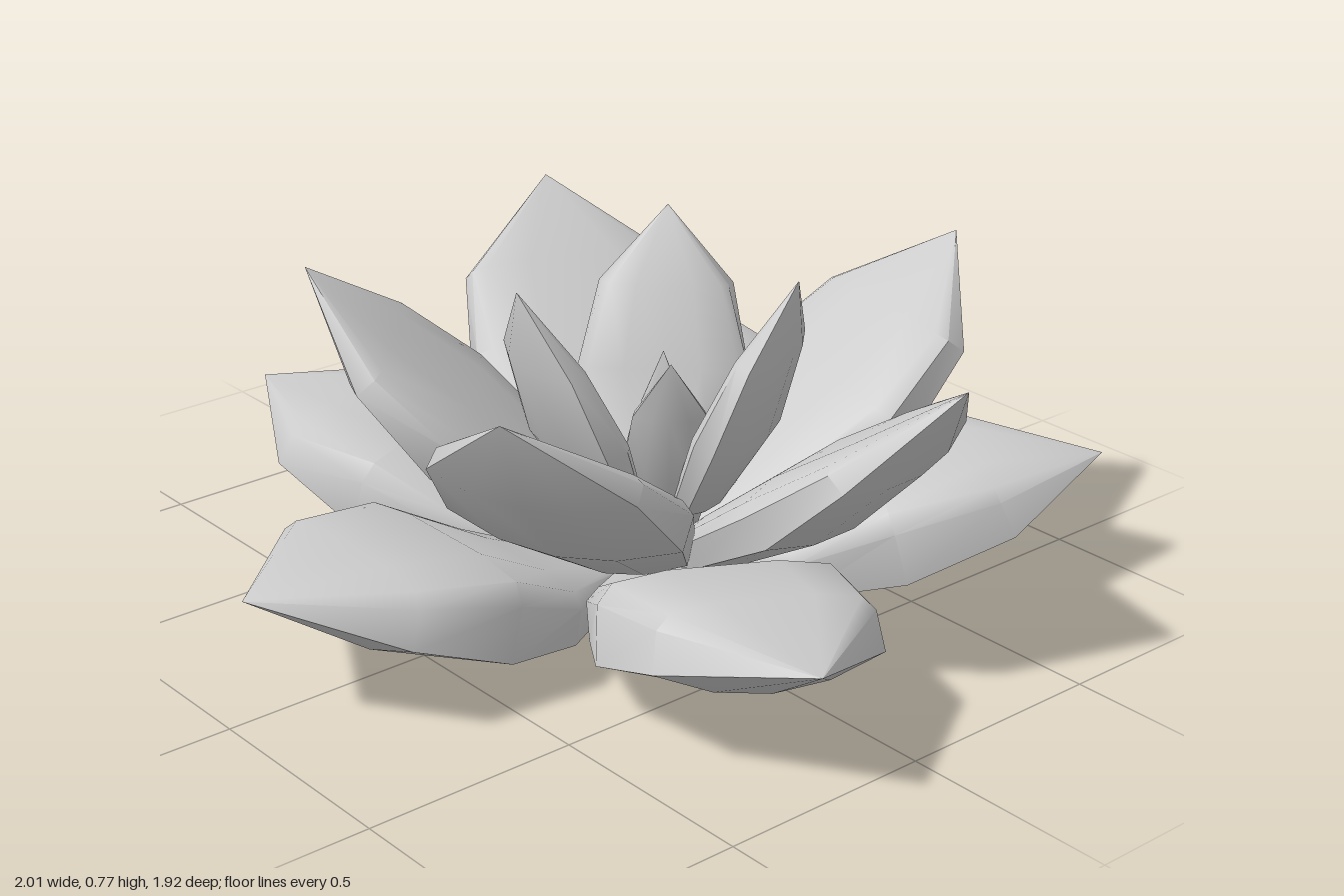
import * as THREE from 'three';
import { toCreasedNormals } from 'three/addons/utils/BufferGeometryUtils.js';

const material = new THREE.MeshStandardMaterial({ color: 0xcccccc });

// Solid fleshy petal along +z. Each row: distance, height, slope,
// then half width and lift of the fold, half width and lift of the rim.
function petalGeometry(rows, [tipZ, tipY]) {
  const pos = [], index = [], n = 12, keel = 4;
  for (const [s, y, tilt, foldX, foldUp, rimX, rimUp] of rows) {
    const shoulder = foldUp + (rimUp - foldUp) * 0.75;
    const crown = rimUp + rimX * 0.06;
    const section = [
      // underside and side walls
      [-rimX * 0.88, rimUp], [-rimX, shoulder], [-foldX, foldUp], [-foldX * 0.5, foldUp * 0.25], [0, 0],
      [foldX * 0.5, foldUp * 0.25], [foldX, foldUp], [rimX, shoulder], [rimX * 0.88, rimUp],
      // slightly domed upper face
      [rimX * 0.45, crown], [0, crown], [-rimX * 0.45, crown],
    ];
    for (const [x, up] of section) pos.push(x, y + up * Math.cos(tilt), s - up * Math.sin(tilt));
  }
  const tip = rows.length * n;
  pos.push(0, tipY, tipZ);
  for (let i = 0; i < n; i++) {
    const j = (i + 1) % n;
    if (i !== keel && j !== keel) index.push(j, i, keel);
    for (let r = 0; r < rows.length; r++) {
      const a = r * n + i, b = r * n + j;
      if (r === rows.length - 1) index.push(a, b, tip);
      else index.push(a, b, a + n, b, b + n, a + n);
    }
  }
  const g = new THREE.BufferGeometry();
  g.setAttribute('position', new THREE.Float32BufferAttribute(pos, 3));
  g.setIndex(index);
  return toCreasedNormals(g, 0.8);
}

// Each ring: petal rows, petal tip [distance, height], and the petals as
// [base x, base z, tip x, tip y, tip z, width scale, roll in degrees]
const rings = {
  // Low, spreading petals
  outerPetal: {
    rows: [
      [0.07, 0, 0.05, 0.05, 0, 0.05, 0.06],
      [0.35, 0.005, 0.1, 0.215, 0.03, 0.225, 0.15],
      [0.59, 0.05, 0.25, 0.285, 0.05, 0.28, 0.22],
      [0.835, 0.14, 0.4, 0.255, 0.06, 0.24, 0.175],
    ],
    tip: [1.05, 0.285],
    petals: [
      [0.01, -0.08, 0.013, 0.285, 0.96, 1.03, 0],
      [0, -0.08, 1.0, 0.29, 0.30, 1, -4],
      [0, -0.08, 0.635, 0.28, -0.965, 0.97, 0],
      [0.015, -0.09, -0.685, 0.28, -0.91, 0.97, 0],
      [0, -0.08, -1.0, 0.27, 0.24, 0.98, 0],
    ],
  },
  // Raised petals
  middlePetal: {
    rows: [
      [0.06, 0.08, 0.4, 0.04, 0, 0.04, 0.04],
      [0.28, 0.15, 0.5, 0.19, 0.05, 0.195, 0.13],
      [0.54, 0.31, 0.75, 0.275, 0.06, 0.277, 0.17],
      [0.7, 0.49, 0.9, 0.24, 0.05, 0.235, 0.12],
    ],
    tip: [0.8, 0.715],
    petals: [
      [0.05, -0.11, 0.415, 0.71, 0.6, 0.98, 0],
      [0.05, -0.11, 0.835, 0.68, -0.28, 1, 0],
      [0.05, -0.11, 0.195, 0.71, -0.915, 1, 0],
      [0.05, -0.125, -0.735, 0.71, -0.435, 1.04, 0],
      [0.06, -0.11, -0.455, 0.76, 0.465, 0.98, 0],
    ],
  },
  // Steep petals around the heart, and two small ones inside them
  innerPetal: {
    rows: [
      [0.03, 0.12, 0.8, 0.03, 0, 0.03, 0.02],
      [0.17, 0.2, 1.0, 0.13, 0.03, 0.13, 0.08],
      [0.29, 0.38, 1.2, 0.19, 0.05, 0.19, 0.12],
      [0.35, 0.58, 1.35, 0.15, 0.04, 0.14, 0.09],
    ],
    tip: [0.36, 0.76],
    petals: [
      [0.02, -0.15, -0.035, 0.76, 0.205, 1, 0],
      [0.01, -0.16, 0.32, 0.77, -0.29, 1, 0],
      [0.01, -0.16, -0.265, 0.76, -0.425, 1.05, 0],
      [0.04, -0.16, 0.19, 0.6, -0.04, 0.55, 0],
      [0.04, -0.14, -0.03, 0.52, -0.21, 0.32, 0],
    ],
  },
};

export function createModel() {
  const flower = new THREE.Group();
  flower.name = 'waterFlower';
  for (const [name, { rows, tip, petals }] of Object.entries(rings)) {
    const geometry = petalGeometry(rows, tip);
    petals.forEach(([x, z, tipX, tipY, tipZ, width, roll], i) => {
      const mesh = new THREE.Mesh(geometry, material);
      mesh.name = name + (i + 1);
      mesh.position.set(x, 0, z);
      mesh.rotation.y = Math.atan2(tipX - x, tipZ - z);
      mesh.rotation.z = THREE.MathUtils.degToRad(roll);
      mesh.scale.set(width, tipY / tip[1], Math.hypot(tipX - x, tipZ - z) / tip[0]);
      flower.add(mesh);
    });
  }
  return flower;
}
